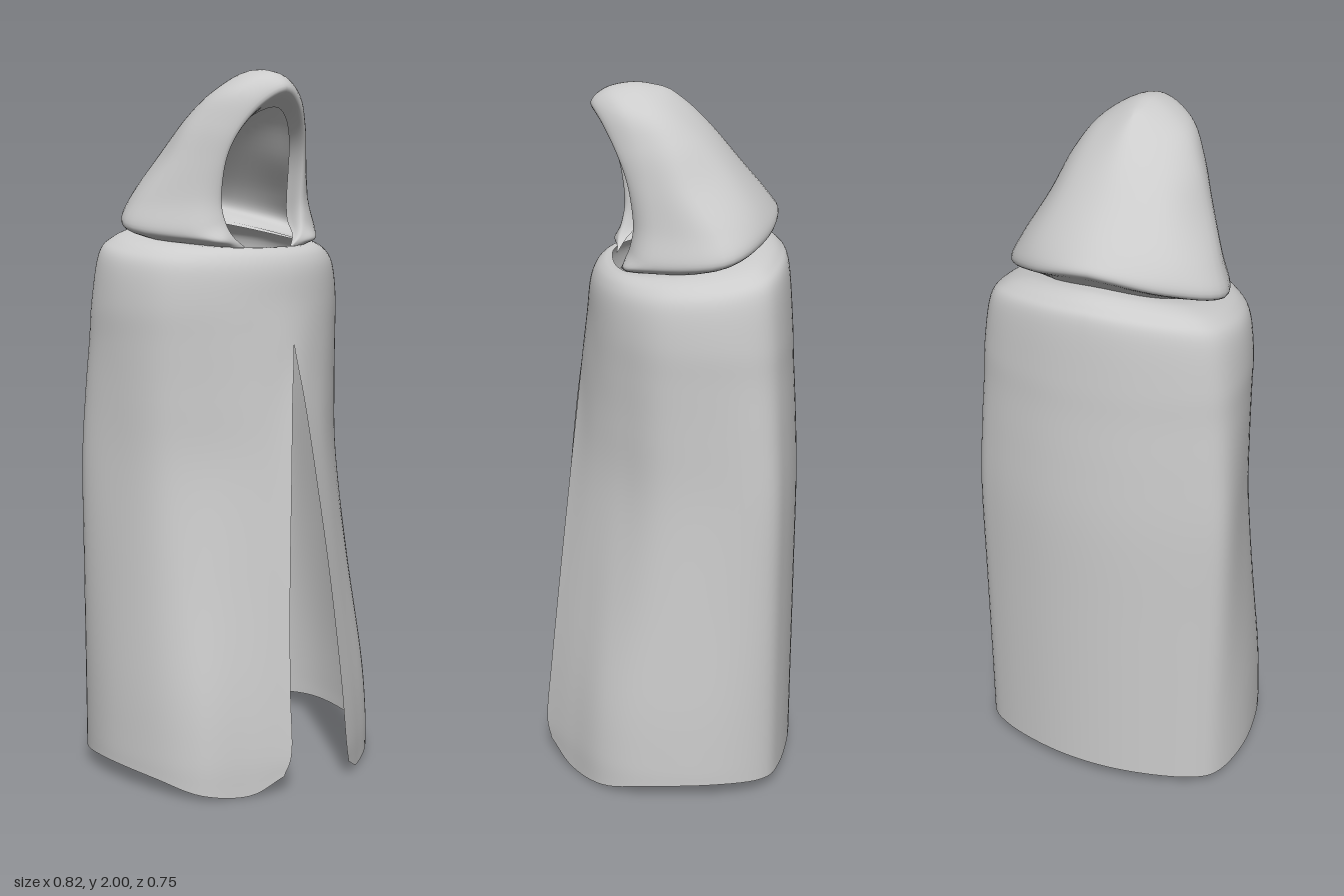
import * as THREE from 'three';
import { mergeVertices } from 'three/addons/utils/BufferGeometryUtils.js';

const V = (p) => new THREE.Vector3(...p);
const mirrorX = (p) => new THREE.Vector3(-p.x, p.y, p.z);
const beyond = (a, b) => a.clone().multiplyScalar(2).sub(b);

// Catmull-Rom point between b and c
function spline(a, b, c, d, t) {
  const t2 = t * t, t3 = t2 * t;
  return new THREE.Vector3()
    .addScaledVector(a, (-t3 + 2 * t2 - t) / 2)
    .addScaledVector(b, (3 * t3 - 5 * t2 + 2) / 2)
    .addScaledVector(c, (-3 * t3 + 4 * t2 + t) / 2)
    .addScaledVector(d, (t3 - t2) / 2);
}

// Subdivide a control row; pre and post are the neighbours past its ends
function refine(row, pre, post, steps) {
  const p = [pre, ...row, post], out = [];
  for (let i = 1; i < p.length - 2; i++)
    for (let s = 0; s < steps; s++) out.push(spline(p[i - 1], p[i], p[i + 1], p[i + 2], s / steps));
  out.push(row[row.length - 1].clone());
  return out;
}

// Smooth cloth through control rows running front to back on the left, mirrored to the right
function cloth(name, rows, { closedFront, ridge, adjust }) {
  const steps = 6;
  const fine = rows.map((r) => {
    const pre = closedFront && r[0].x === 0 ? mirrorX(r[1]) : beyond(r[0], r[1]);
    return refine(r, pre, mirrorX(r[r.length - 2]), steps);
  });
  const columns = fine[0].map((_, i) => {
    const col = fine.map((r) => r[i]), n = col.length;
    const post = ridge ? mirrorX(col[n - 2]) : beyond(col[n - 1], col[n - 2]);
    return refine(col, beyond(col[0], col[1]), post, steps);
  });
  const nu = columns.length, nv = columns[0].length, pos = [], idx = [];
  for (const side of [1, -1]) {
    const base = pos.length / 3;
    for (const col of columns)
      for (const p of col) {
        const q = new THREE.Vector3(side * Math.max(p.x, 0), p.y, p.z);
        if (adjust) adjust(q);
        pos.push(q.x, q.y, q.z);
      }
    for (let i = 0; i < nu - 1; i++)
      for (let j = 0; j < nv - 1; j++) {
        const a = base + i * nv + j, b = a + nv, c = b + 1, d = a + 1;
        if (side > 0) idx.push(a, b, c, a, c, d);
        else idx.push(a, c, b, a, d, c);
      }
  }
  let geo = new THREE.BufferGeometry();
  geo.setAttribute('position', new THREE.Float32BufferAttribute(pos, 3));
  geo.setIndex(idx);
  geo = mergeVertices(geo, 1e-4);
  geo.computeVertexNormals();
  const mesh = new THREE.Mesh(geo, new THREE.MeshStandardMaterial({ color: 0xcccccc, side: THREE.DoubleSide }));
  mesh.name = name;
  return mesh;
}

// Plan outlines [x, z] from the front centre round to the back
const HEM = [[0.085, 0.375], [0.2, 0.305], [0.32, 0.22], [0.385, 0.1], [0.412, -0.09], [0.38, -0.24], [0.302, -0.305], [0.15, -0.358], [0, -0.375]];
const SHOULDER = [[0, 0.222], [0.13, 0.202], [0.24, 0.145], [0.33, 0.05], [0.37, -0.09], [0.352, -0.215], [0.282, -0.282], [0.14, -0.332], [0, -0.347]];
const NECK = [[0, 0.15], [0.1, 0.14], [0.17, 0.1], [0.215, 0], [0.22, -0.08], [0.19, -0.15], [0.15, -0.19], [0.08, -0.225], [0, -0.24]];
const HEM_Y = [0.05, 0.003, 0.015, 0.045, 0.055, 0.045, 0.045, 0.055, 0.058];

function cloakBody() {
  const { lerp, clamp, smoothstep } = THREE.MathUtils;
  const rows = [];
  // Skirt rows: [height, half width of the front slit]
  const skirt = [[0, 0.108], [0.12, 0.087], [0.3, 0.082], [0.6, 0.066], [0.9, 0.041], [1.1, 0.021], [1.25, 0], [1.36, 0]];
  skirt.forEach(([y, slit], r) => {
    // Slit edges slope steadily, front corners flare out low down, the back hangs straight
    const edge = Math.pow(clamp((y - 0.1) / 1.28, 0, 1), 1.1);
    const corner = smoothstep(y, 0.05, 1.05);
    const back = smoothstep(y, 0.85, 1.5);
    const taper = (i) => (i === 0 ? edge : i === 1 ? (edge + corner) / 2 : i < 5 ? corner : back);
    rows.push(HEM.map(([x, z], i) => new THREE.Vector3(
      i === 0 ? slit : lerp(x, SHOULDER[i][0], taper(i)),
      r === 0 ? HEM_Y[i] : y,
      lerp(z, SHOULDER[i][1], taper(i)) - (r === 0 && i === 0 ? 0.012 : 0))));
  });
  // Shoulder rows: [blend towards the neck, drop below the neck]
  for (const [s, drop] of [[0.1, 0.07], [0.32, 0.026], [0.65, 0.004], [1, 0]])
    rows.push(SHOULDER.map(([x, z], i) => {
      const [nx, nz] = NECK[i];
      const neckY = 1.53 - 0.1 * nz + (nz < 0 ? 0.6 * nz * nz : 0);
      return new THREE.Vector3(lerp(x, nx, s), neckY - drop, lerp(z, nz, s));
    }));
  // The right front flap hangs a little further back
  const adjust = (q) => {
    if (q.x < 0 && q.z > 0)
      q.z -= 0.04 * clamp((q.x + 0.32) / 0.23, 0, 1) * (1 - smoothstep(q.y, 0, 1.2));
  };
  return cloth('cloakBody', rows, { closedFront: true, ridge: false, adjust });
}

function hood() {
  // Rows from the neck over the flared brim to the crown ridge; face rim first, back last
  const levels = [
    [[0.09, 1.512, 0.132], [0.17, 1.52, 0.1], [0.22, 1.532, -0.05], [0.15, 1.562, -0.19], [0, 1.587, -0.238]],
    [[0.13, 1.545, 0.128], [0.195, 1.533, 0.113], [0.268, 1.543, -0.085], [0.17, 1.588, -0.222], [0, 1.615, -0.268]],
    [[0.148, 1.59, 0.113], [0.232, 1.562, 0.07], [0.308, 1.573, -0.12], [0.192, 1.614, -0.25], [0, 1.65, -0.307]],
    [[0.152, 1.65, 0.105], [0.218, 1.64, 0.055], [0.28, 1.645, -0.1], [0.187, 1.672, -0.226], [0, 1.692, -0.284]],
    [[0.146, 1.75, 0.118], [0.194, 1.747, 0.066], [0.226, 1.751, -0.04], [0.152, 1.777, -0.154], [0, 1.787, -0.203]],
    [[0.122, 1.832, 0.145], [0.163, 1.85, 0.09], [0.177, 1.859, 0], [0.118, 1.867, -0.085], [0, 1.873, -0.13]],
    [[0.07, 1.905, 0.18], [0.106, 1.94, 0.133], [0.115, 1.944, 0.055], [0.08, 1.94, -0.015], [0, 1.937, -0.066]],
    [[0, 1.943, 0.205], [0, 1.985, 0.165], [0, 2, 0.09], [0, 1.99, 0.02], [0, 1.977, -0.014]],
  ];
  // Each row starts with the cloth folded inwards behind the face rim
  const rows = levels.map((level, r) => {
    const row = level.map(V), rim = row[0], h = r / 7;
    return [new THREE.Vector3(rim.x * 0.89, rim.y - 0.047 * h * h, rim.z - 0.05 * Math.min(1, r / 2)), ...row];
  });
  return cloth('hood', rows, { closedFront: false, ridge: true });
}

export function createModel() {
  const cloak = new THREE.Group();
  cloak.name = 'hoodedCloak';
  cloak.add(cloakBody(), hood());
  return cloak;
}
